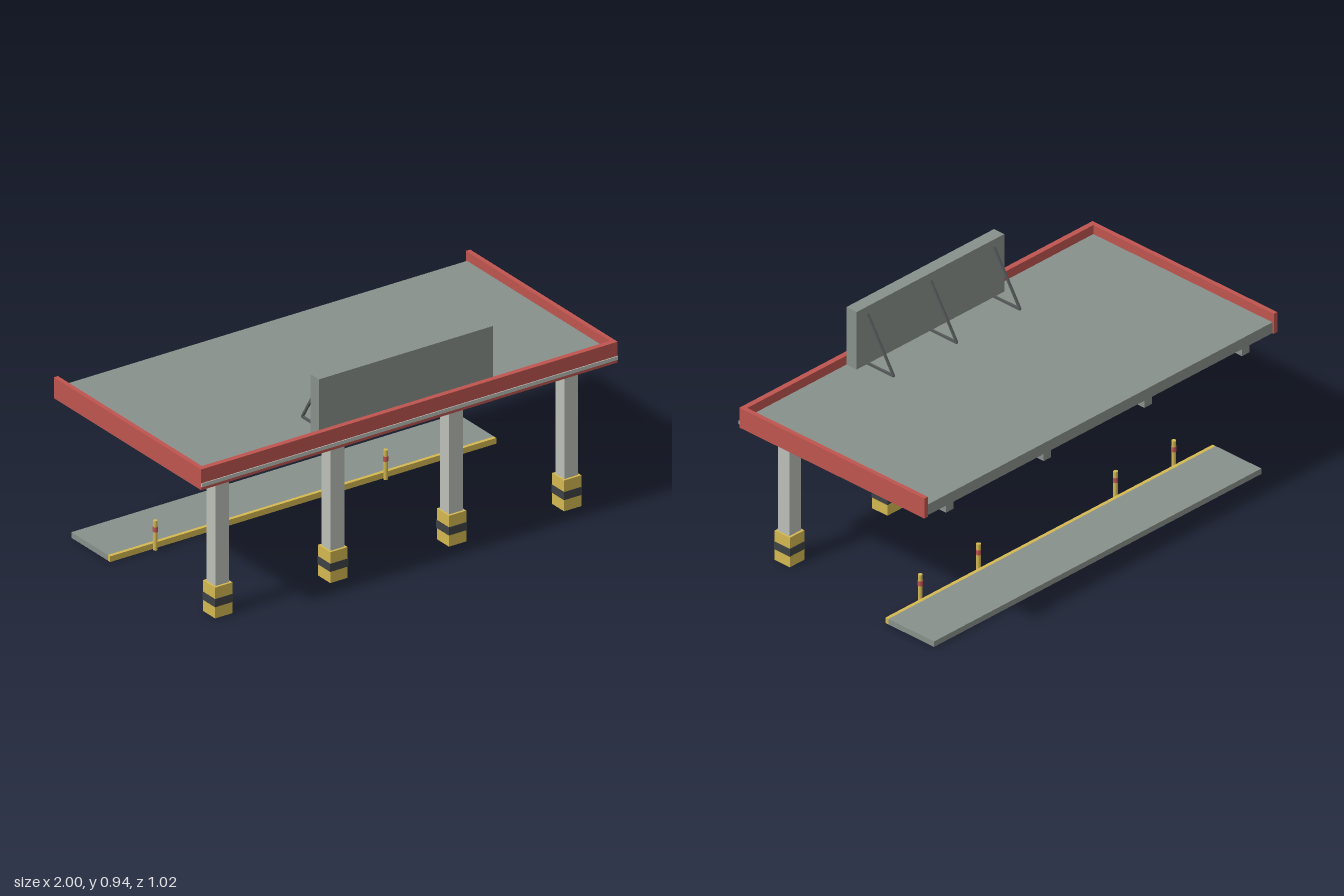
import * as THREE from 'three';

const makeMaterial = (name, color) => {
  const m = new THREE.MeshStandardMaterial({ color });
  m.name = name;
  return m;
};

export function createModel() {
  const grey = makeMaterial('concrete grey', 0x88918b);
  const pale = makeMaterial('pale grey', 0xbcc0b8);
  const red = makeMaterial('red', 0xbf554f);
  const yellow = makeMaterial('yellow', 0xd4b850);
  const dark = makeMaterial('dark grey', 0x3e4244);
  const steel = makeMaterial('steel', 0x55595a);

  const model = new THREE.Group();
  model.name = 'platformShelter';

  // Box given by its limits on each axis
  const box = (name, mat, [x0, x1], [y0, y1], [z0, z1], parent = model) => {
    const mesh = new THREE.Mesh(new THREE.BoxGeometry(x1 - x0, y1 - y0, z1 - z0), mat);
    mesh.position.set((x0 + x1) / 2, (y0 + y1) / 2, (z0 + z1) / 2);
    mesh.name = name;
    parent.add(mesh);
    return mesh;
  };
  const around = (c, w) => [c - w / 2, c + w / 2];

  // Roof slab with a raised edge on three sides
  const roofTop = 0.675;
  box('roofSlab', grey, [-0.982, 0.982], [0.626, roofTop], [-0.5, 0.482]);
  box('frontFascia', red, [-0.982, 0.982], [0.625, 0.716], [0.48, 0.504]);
  for (const s of [-1, 1]) {
    box('sideFascia', red, around(s * 0.99, 0.02), [0.625, 0.716], [-0.507, 0.504]);
  }
  box('fasciaStripe', pale, [-1, 1], [0.639, 0.655], [0.502, 0.508]);

  // Columns with striped bases, caps and roof beams
  for (const x of [-0.838, -0.285, 0.285, 0.838]) {
    const column = new THREE.Group();
    column.name = 'columnBay';
    model.add(column);
    box('columnBase', yellow, around(x, 0.083), [0, 0.135], around(0.386, 0.083), column);
    box('baseBand', dark, around(x, 0.087), [0.05, 0.085], around(0.386, 0.087), column);
    box('columnShaft', pale, around(x, 0.066), [0.13, 0.602], around(0.386, 0.062), column);
    box('columnCap', grey, around(x, 0.083), [0.6, 0.627], around(0.386, 0.083), column);
    box('roofBeam', grey, around(x, 0.042), [0.585, 0.627], [-0.49, 0.35], column);
  }

  // Shallow lamps under the roof, narrowed towards the bottom
  for (const x of [-0.63, 0, 0.63]) {
    for (const z of [-0.125, 0.195]) {
      const lamp = box('ceilingLamp', grey, around(x, 0.19), [0.612, 0.627], around(z, 0.05));
      const geo = lamp.geometry.toNonIndexed();
      const p = geo.attributes.position;
      for (let i = 0; i < p.count; i++) {
        if (p.getY(i) < 0) {
          p.setX(i, p.getX(i) - Math.sign(p.getX(i)) * 0.012);
          p.setZ(i, p.getZ(i) - Math.sign(p.getZ(i)) * 0.008);
        }
      }
      geo.computeVertexNormals();
      lamp.geometry = geo;
    }
  }

  // Sign board on the roof with L-shaped braces
  box('signBoard', grey, [-0.418, 0.418], [roofTop, 0.938], [0.424, 0.48]);
  for (const x of [-0.358, 0, 0.358]) {
    const top = new THREE.Vector3(x, 0.905, 0.422);
    const foot = new THREE.Vector3(x, roofTop + 0.004, 0.28);
    const dir = top.clone().sub(foot);
    const brace = new THREE.Mesh(new THREE.BoxGeometry(0.009, dir.length(), 0.009), steel);
    brace.position.copy(top).add(foot).multiplyScalar(0.5);
    brace.quaternion.setFromUnitVectors(new THREE.Vector3(0, 1, 0), dir.normalize());
    brace.name = 'signBrace';
    model.add(brace);
    box('braceFoot', steel, around(x, 0.009), [roofTop, roofTop + 0.009], [0.278, 0.424]);
  }

  // Low kerb platform with a yellow front edge
  box('platform', grey, [-0.927, 0.927], [0, 0.025], [-0.49, -0.24]);
  box('platformEdge', yellow, [-0.927, 0.927], [0, 0.025], [-0.24, -0.224]);

  // Banded bollards in front of the platform
  const cylinder = (name, mat, r, x, y0, y1) => {
    const mesh = new THREE.Mesh(new THREE.CylinderGeometry(r, r, y1 - y0, 16), mat);
    mesh.position.set(x, (y0 + y1) / 2, -0.213);
    mesh.name = name;
    model.add(mesh);
  };
  for (const x of [-0.718, -0.388, 0.388, 0.718]) {
    cylinder('bollard', yellow, 0.0095, x, 0, 0.129);
    cylinder('bollardBand', red, 0.0105, x, 0.08, 0.102);
  }
  return model;
}
